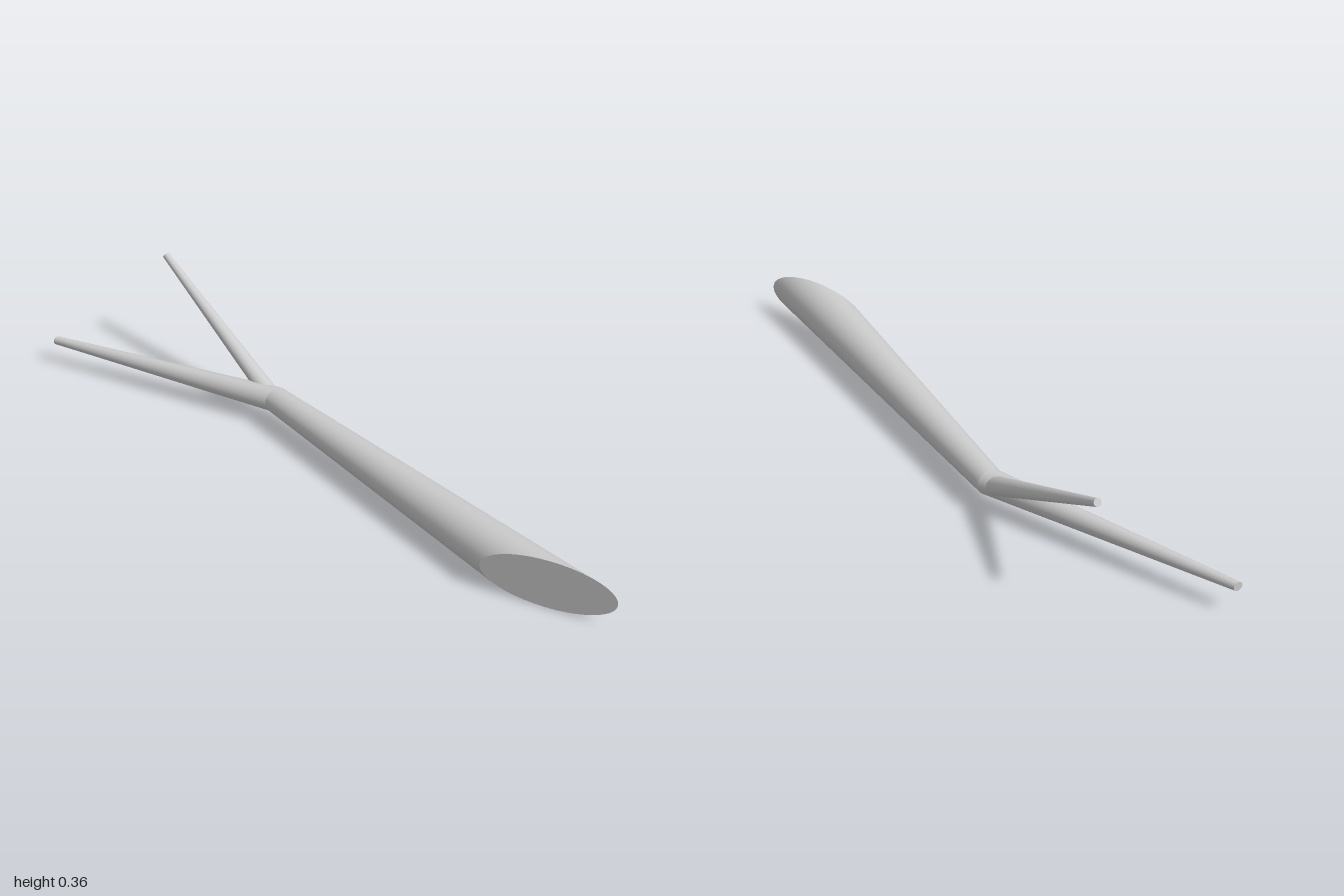
import * as THREE from 'three';

const SIDES = 40;
const material = new THREE.MeshStandardMaterial({ color: 0xcccccc });

// An elliptical ring: centre plus two half-axis vectors
const ring = (centre, u, v) => Array.from({ length: SIDES }, (_, i) => {
  const a = (i / SIDES) * Math.PI * 2;
  return new THREE.Vector3(...centre)
    .addScaledVector(new THREE.Vector3(...u), Math.cos(a))
    .addScaledVector(new THREE.Vector3(...v), Math.sin(a));
});

// Smooth skin between two rings, running from front to back
function skin(front, back) {
  const index = [];
  for (let i = 0; i < SIDES; i++) {
    const j = (i + 1) % SIDES;
    index.push(i, i + SIDES, j, j, i + SIDES, j + SIDES);
  }
  const geometry = new THREE.BufferGeometry().setFromPoints([...front, ...back]);
  geometry.setIndex(index);
  geometry.computeVertexNormals();
  return geometry;
}

// Flat cap filling a ring
function cap(points, facesFront) {
  const index = [];
  for (let i = 1; i < SIDES - 1; i++) index.push(0, ...(facesFront ? [i, i + 1] : [i + 1, i]));
  const geometry = new THREE.BufferGeometry().setFromPoints(points);
  geometry.setIndex(index);
  geometry.computeVertexNormals();
  return geometry;
}

export function createModel() {
  const model = new THREE.Group();
  model.name = 'forkedStick';
  const add = (name, geometry) => {
    const mesh = new THREE.Mesh(geometry, material);
    mesh.name = name;
    model.add(mesh);
  };

  // Trunk, cut on a slant at the thick end
  const cut = ring([0.13, 0.08, 0.825], [0.08, 0, 0.175], [0, 0.08, 0]);
  const fork = ring([0.125, 0.08, -0.3], [0.04, 0, 0], [0, 0.04, 0]);
  add('trunk', skin(cut, fork));
  add('slantedCut', cap(cut, true));

  // Side branch, carrying on from the trunk's thin end
  const sideTip = ring([-0.198, 0.082, -1], [0.013, 0, 0], [0, 0.014, 0]);
  add('sideBranch', skin(fork, sideTip));
  add('sideBranchTip', cap(sideTip, false));

  // Upper branch, rooted inside the fork and square to its own axis
  const slanted = (centre, r) => ring(centre, [r, 0, 0], [0, 0.885 * r, 0.465 * r]);
  const root = slanted([0.125, 0.083, -0.325], 0.028);
  const upperTip = slanted([0.124, 0.347, -0.832], 0.011);
  add('upperBranch', skin(root, upperTip));
  add('upperBranchRoot', cap(root, true));
  add('upperBranchTip', cap(upperTip, false));

  return model;
}
